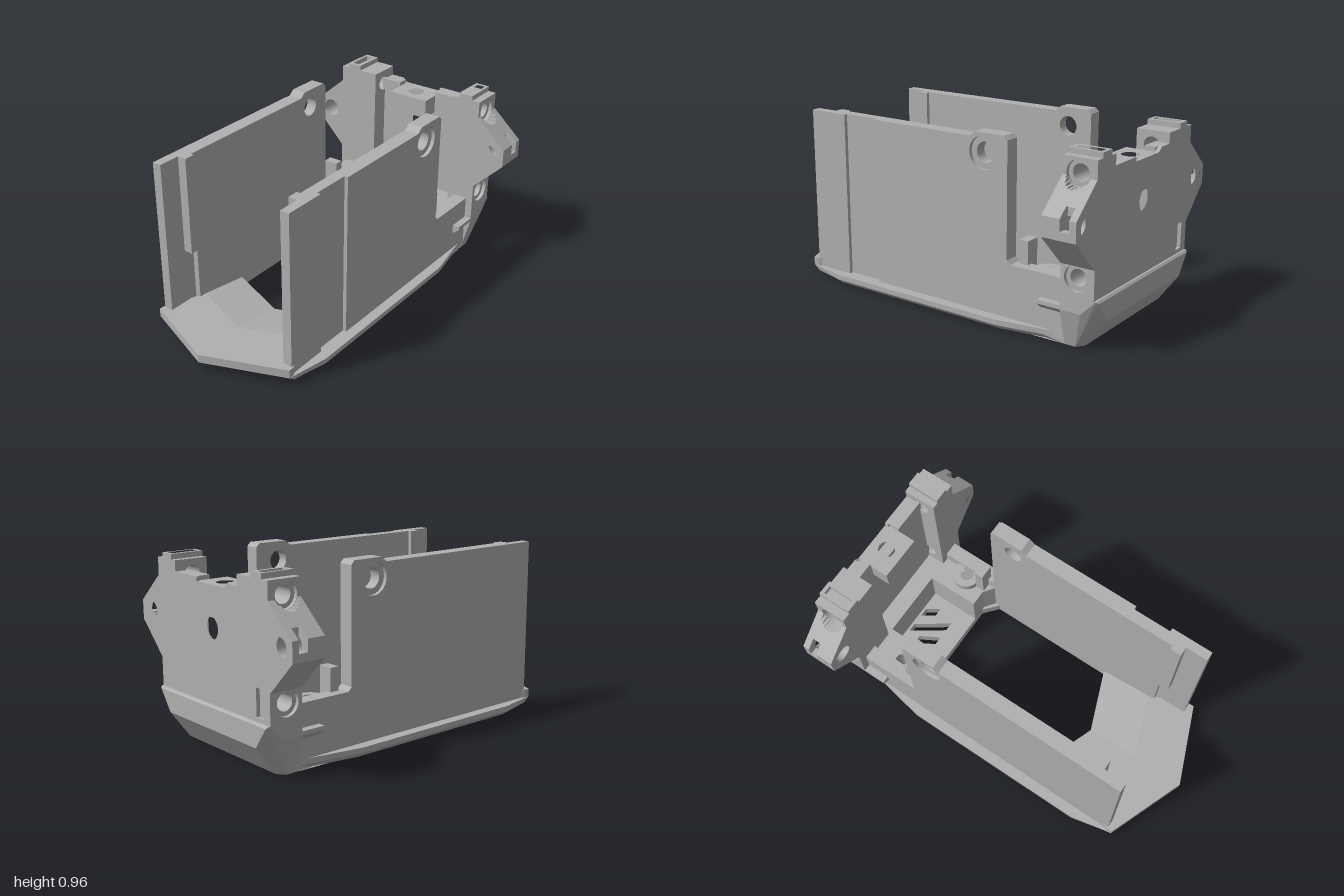
import * as THREE from 'three';
import { ConvexGeometry } from 'three/addons/geometries/ConvexGeometry.js';

const grey = new THREE.MeshStandardMaterial({ color: 0xb0b0b0 });
grey.name = 'plain grey';

const circle = (a, b, r, n = 32) => Array.from({ length: n }, (_, i) => {
  const t = (i / n) * Math.PI * 2;
  return [a + r * Math.cos(t), b + r * Math.sin(t)];
});
const rect = (a0, b0, a1, b1) => [[a0, b0], [a1, b0], [a1, b1], [a0, b1]];

function extrude(points, holes, depth, steps = 1) {
  const vec = list => list.map(p => new THREE.Vector2(p[0], p[1]));
  const shape = new THREE.Shape(vec(points));
  shape.holes = holes.map(h => new THREE.Path(vec(h)));
  return new THREE.ExtrudeGeometry(shape, { depth, steps, bevelEnabled: false });
}
// Outlines given as (z, y), (x, z) and (x, y) respectively
const flip0 = l => l.map(p => [-p[0], p[1]]);
const flip1 = l => l.map(p => [p[0], -p[1]]);
const alongX = (pts, holes, x0, x1) =>
  extrude(flip0(pts), holes.map(flip0), x1 - x0).rotateY(Math.PI / 2).translate(x0, 0, 0);
const alongY = (pts, holes, y0, y1, steps) =>
  extrude(flip1(pts), holes.map(flip1), y1 - y0, steps).rotateX(-Math.PI / 2).translate(0, y0, 0);
const alongZ = (pts, holes, za, zb) =>
  extrude(pts, holes, Math.abs(zb - za)).translate(0, 0, Math.min(za, zb));
const hull = pts => new ConvexGeometry(pts.map(p => new THREE.Vector3(...p)));

export function createModel() {
  const model = new THREE.Group();
  const add = (name, geometry) => {
    const mesh = new THREE.Mesh(geometry, grey);
    mesh.name = name;
    model.add(mesh);
  };
  const both = fn => [1, -1].forEach(fn);

  // Floor plate with pointed opening, vents and a bevelled underside
  const screw = s => circle(0.64, 0.31 * s, 0.04, 24);
  const floor = alongY(
    [[-1, 0], [-0.83, 0.43], [-0.6, 0.475], [0.45, 0.475], [0.69, 0.43], [0.8, 0.41],
      [0.8, -0.41], [0.69, -0.43], [0.45, -0.475], [-0.6, -0.475], [-0.83, -0.43]],
    [
      [[-0.42, 0], [-0.29, 0.34], [0.44, 0.34], [0.51, 0.26], [0.51, -0.26], [0.44, -0.34], [-0.29, -0.34]],
      screw(1), screw(-1),
      [[0.61, -0.02], [0.61, -0.07], [0.715, -0.13], [0.715, -0.08]],
      [[0.61, 0.085], [0.61, 0.035], [0.785, -0.085], [0.785, -0.035]],
      [[0.715, 0.125], [0.715, 0.075], [0.785, 0.03], [0.785, 0.08]],
    ], 0, 0.055, 2);
  const p = floor.attributes.position;
  for (let i = 0; i < p.count; i++) {
    const x = p.getX(i), y = p.getY(i), z = p.getZ(i);
    if (x < -0.8) p.setX(i, x + 0.07 * (1 - y / 0.055));
    if (y < 0.01 && Math.abs(z) > 0.4 && x < 0.75) p.setZ(i, z * 0.93);
  }
  floor.computeVertexNormals();
  add('floorPlate', floor);

  both(s => {
    // Raised pointed nose and the ramp behind it
    add('nose', alongY(
      [[-1, 0], [-0.83, 0.43 * s], [-0.8, 0.43 * s], [-0.58, 0.34 * s], [-0.71, 0]], [], 0.055, 0.1));
    add('noseRamp', hull([
      [-0.71, 0.05, 0], [-0.71, 0.1, 0], [-0.58, 0.05, 0.34 * s], [-0.58, 0.1, 0.34 * s],
      [-0.42, 0.055, 0], [-0.29, 0.055, 0.34 * s], [-0.42, 0.05, 0], [-0.29, 0.05, 0.34 * s]]));

    // Side wall: inner layer with a bolt hole, outer layer with its counterbore
    const wallFrom = x => [[x, 0.03], [x, 0.935], [0.25, 0.935], [0.28, 0.96], [0.45, 0.96], [0.47, 0.94],
      [0.47, 0.35], [0.49, 0.33], [0.8, 0.33], [0.8, 0.03]];
    add('sideWallInner', alongZ(wallFrom(-0.62), [circle(0.33, 0.86, 0.052)], 0.34 * s, 0.4 * s));
    add('sideWallFrontInner', alongZ(rect(-0.8, 0.03, -0.62, 0.935), [], 0.37 * s, 0.4 * s));
    add('sideWallOuter', alongZ(wallFrom(s > 0 ? -0.36 : -0.8), [circle(0.33, 0.86, 0.083)], 0.4 * s, 0.42 * s));
    if (s > 0) add('sideWallFrontOuter', alongZ(rect(-0.8, 0.03, -0.57, 0.935), [], 0.4, 0.42));
    add('wallRib', alongZ(rect(-0.68, 0.4, -0.62, 0.935), [], 0.32 * s, 0.375 * s));
    add('post', alongZ(rect(0.51, 0.25, 0.56, 0.45), [], 0.29 * s, 0.37 * s));

    // Screw deck and boss beside the end plate
    add('screwDeck', alongY(
      [[0.51, 0.19 * s], [0.8, 0.19 * s], [0.8, 0.35 * s], [0.46, 0.35 * s], [0.51, 0.28 * s]],
      [screw(s)], 0.05, 0.27));
    add('screwBoss', alongY(circle(0.64, 0.31 * s, 0.08), [screw(s)], 0.27, 0.31));
    add('sideLedge', alongX(
      [[0.38, 0.21], [0.46, 0.21], [0.46, 0.19], [0.41, 0.15], [0.38, 0.15]].map(q => [q[0] * s, q[1]]),
      [], 0.67, 0.8));
  });

  // Bevelled foot of the end plate
  const foot = [];
  both(s => foot.push(
    [0.8, 0.27, 0.46 * s], [0.99, 0.27, 0.46 * s], [0.8, 0.19, 0.46 * s], [0.91, 0.19, 0.46 * s],
    [0.8, 0.15, 0.41 * s], [0.9, 0.15, 0.41 * s], [1, 0.15, 0.37 * s], [1, 0.26, 0.45 * s],
    [0.8, 0, 0.41 * s], [0.86, 0, 0.41 * s], [0.89, 0, 0.37 * s]));
  add('endFoot', hull(foot));

  // End plate outer face with all its holes
  const centreHole = circle(0, 0.645, 0.06).map(q => [q[0], Math.min(q[1], 0.697)]);
  const wingHole = s => circle(0.54 * s, 0.645, 0.05);
  const slot = s => rect(0.355 * s, 0.29, 0.41 * s, 0.43);
  add('endFace', alongX(
    [[0.46, 0.26], [0.46, 0.42], [0.63, 0.59], [0.63, 0.69], [0.46, 0.84], [0.46, 0.93], [0.3, 0.93],
      [0.3, 0.875], [0.11, 0.875], [0.11, 0.853], [-0.12, 0.853], [-0.145, 0.875], [-0.225, 0.875],
      [-0.225, 0.93], [-0.46, 0.93], [-0.46, 0.84], [-0.63, 0.69], [-0.63, 0.59], [-0.46, 0.42], [-0.46, 0.26]],
    [centreHole, wingHole(1), wingHole(-1), slot(1), slot(-1)], 0.96, 0.98));
  add('endWeb', alongX(
    [[0.31, 0.26], [0.31, 0.875], [0.12, 0.875], [0.12, 0.75], [-0.12, 0.75], [-0.12, 0.875],
      [-0.24, 0.875], [-0.24, 0.26]], [centreHole], 0.9, 0.96));
  add('topBridge', alongY(rect(0.8, -0.12, 0.96, 0.12), [circle(0.89, 0, 0.045)], 0.75, 0.853));

  both(s => {
    // Columns, bored through from the side with counterbored ends
    const block = rect(0.8, 0.26, 0.96, 0.93);
    const bores = r => [circle(0.885, 0.855, r), circle(0.885, 0.36, r)];
    add('columnOuter', alongZ(block, bores(0.065), 0.44 * s, 0.46 * s));
    add('columnInner', alongZ(block, bores(0.043), (s > 0 ? 0.3 : 0.225) * s, 0.44 * s));
    add('topFrame', alongY(rect(0.8, 0.335 * s, 0.98, 0.415 * s),
      [rect(0.82, 0.355 * s, 0.96, 0.4 * s)], 0.93, 0.957));

    // Wings, cut in slices so that the upper bore and the end slot open into them
    const cuts = [0.8, 0.822, 0.83, 0.842, 0.858, 0.876, 0.896, 0.912, 0.928, 0.944, 0.952, 0.96];
    for (let i = 0; i + 1 < cuts.length; i++) {
      const mid = (cuts[i] + cuts[i + 1]) / 2;
      const h2 = 0.065 ** 2 - (mid - 0.885) ** 2;
      const top = h2 > 0 ? 0.855 - Math.sqrt(h2) : 0.84;
      const yTop = Math.min(top, 0.84);
      const slotted = mid > 0.896 && mid < 0.944;
      const outline = [[0.46, 0.42], [0.63, 0.59]];
      if (slotted) {
        outline.push([0.63, 0.63]);
        for (let k = 0; k <= 20; k++) {
          const t = THREE.MathUtils.degToRad(-17.5 - (282.5 * k) / 20);
          outline.push([0.54 + 0.05 * Math.cos(t), 0.645 + 0.05 * Math.sin(t)]);
        }
        outline.push([0.565, 0.735], [0.579, 0.735]);
      } else outline.push([0.63, 0.69]);
      outline.push([0.46 + (0.84 - yTop) * (0.17 / 0.15), yTop], [0.46, yTop]);
      add('wing', alongX(outline.map(q => [q[0] * s, q[1]]), slotted ? [] : [wingHole(s)], cuts[i], cuts[i + 1]));
    }
  });
  return model;
}
